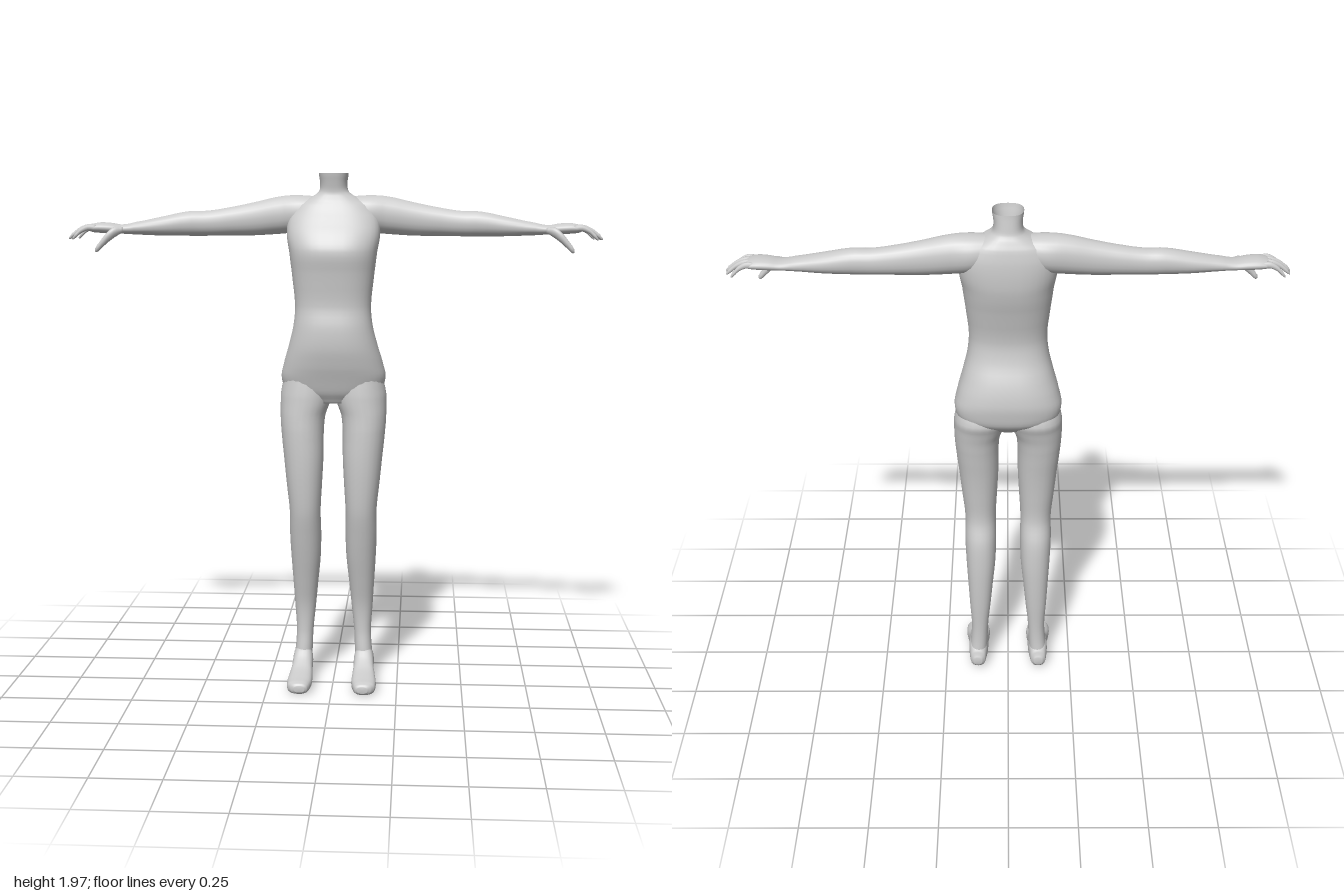
import * as THREE from 'three';

const material = new THREE.MeshStandardMaterial({ color: 0xcccccc, side: THREE.DoubleSide });

// Smooth interpolation of one column between rows 1 and 2 of four.
function spline(p, q, r, s, f) {
  const m = (r - p) / 2, n = (s - q) / 2, d = r - q;
  return q + f * (m + f * (3 * d - 2 * m - n + f * (m + n - 2 * d)));
}

// Skin over rounded cross-sections. Each row: [t, aMin, aMax, bMin, bMax];
// axes gives the coordinate indices of a, b and t in right-handed order.
function loft(name, rows, axes, { sides = 24, steps = 4, power = 2.2, openEnd = false } = {}) {
  const rings = [];
  const row = i => rows[Math.max(0, Math.min(rows.length - 1, i))];
  for (let i = 0; i < rows.length - 1; i++) {
    for (let k = 0; k < steps; k++) {
      const f = k / steps;
      rings.push(rows[0].map((_, c) => c === 0
        ? row(i)[0] + f * (row(i + 1)[0] - row(i)[0])
        : spline(row(i - 1)[c], row(i)[c], row(i + 1)[c], row(i + 2)[c], f)));
    }
  }
  rings.push(rows[rows.length - 1]);

  const pos = [], index = [];
  const add = (a, b, t) => {
    const p = [0, 0, 0];
    p[axes[0]] = a; p[axes[1]] = b; p[axes[2]] = t;
    pos.push(...p);
  };
  const round = v => Math.sign(v) * Math.abs(v) ** (2 / power);
  for (const [t, a0, a1, b0, b1] of rings) {
    for (let j = 0; j < sides; j++) {
      const u = j / sides * Math.PI * 2;
      add((a0 + a1) / 2 + (a1 - a0) / 2 * round(Math.cos(u)),
        (b0 + b1) / 2 + (b1 - b0) / 2 * round(Math.sin(u)), t);
    }
  }
  for (let i = 0; i < rings.length - 1; i++) {
    for (let j = 0; j < sides; j++) {
      const k = (j + 1) % sides, p = i * sides, q = p + sides;
      index.push(p + j, p + k, q + j, p + k, q + k, q + j);
    }
  }
  // End caps
  const cap = (r, last) => {
    const [t, a0, a1, b0, b1] = rings[r], c = pos.length / 3, p = r * sides;
    add((a0 + a1) / 2, (b0 + b1) / 2, t);
    for (let j = 0; j < sides; j++) {
      const k = (j + 1) % sides;
      index.push(c, p + (last ? j : k), p + (last ? k : j));
    }
  };
  cap(0, false);
  if (!openEnd) cap(rings.length - 1, true);

  const g = new THREE.BufferGeometry();
  g.setAttribute('position', new THREE.Float32BufferAttribute(pos, 3));
  g.setIndex(index);
  g.computeVertexNormals();
  const mesh = new THREE.Mesh(g, material);
  mesh.name = name;
  return mesh;
}

const ALONG_X = [1, 2, 0]; // rows: x, y range, z range
const ALONG_Y = [2, 0, 1]; // rows: y, z range, x range
const ALONG_Z = [0, 1, 2]; // rows: z, x range, y range

// Trunk from crotch to the open neck: [y, back, front, half width]
function torso() {
  const rows = [
    [1.11, -0.10, 0.04, 0.09], [1.15, -0.145, 0.062, 0.175], [1.2, -0.158, 0.078, 0.198],
    [1.25, -0.16, 0.094, 0.19], [1.32, -0.145, 0.108, 0.17], [1.4, -0.115, 0.108, 0.15],
    [1.48, -0.105, 0.096, 0.143], [1.6, -0.13, 0.106, 0.155], [1.68, -0.15, 0.115, 0.165],
    [1.74, -0.156, 0.09, 0.175], [1.8, -0.154, 0.05, 0.17], [1.85, -0.145, 0.02, 0.14],
    [1.88, -0.132, 0.006, 0.085], [1.9, -0.122, 0.002, 0.056], [1.93, -0.117, 0.006, 0.051],
    [1.968, -0.112, 0.013, 0.056],
  ].map(([y, b, f, w]) => [y, b, f, -w, w]);
  return loft('torsoAndNeck', rows, ALONG_Y, { sides: 36, power: 2.5, openEnd: true });
}

// Arm, palm, four fingers and thumb on the +x side
function arm() {
  const g = new THREE.Group();
  g.add(loft('arm', [
    [0.06, 1.77, 1.882, -0.13, -0.01], [0.13, 1.75, 1.886, -0.138, -0.002],
    [0.2, 1.742, 1.882, -0.13, -0.012], [0.3, 1.736, 1.86, -0.118, -0.02],
    [0.4, 1.735, 1.84, -0.11, -0.022], [0.48, 1.734, 1.828, -0.104, -0.02],
    [0.55, 1.734, 1.826, -0.102, -0.014], [0.65, 1.735, 1.806, -0.093, -0.006],
    [0.75, 1.739, 1.786, -0.079, 0], [0.8, 1.742, 1.777, -0.076, 0.004],
    [0.84, 1.743, 1.783, -0.079, 0.012], [0.88, 1.745, 1.785, -0.08, 0.016],
    [0.91, 1.748, 1.78, -0.076, 0.014], [0.925, 1.754, 1.774, -0.066, 0.006],
  ], ALONG_X));

  // [centre z at knuckle, centre z at tip, tip x]
  [[-0.065, -0.07, 0.975], [-0.042, -0.044, 0.995], [-0.019, -0.018, 1], [0.004, 0.01, 0.98]]
    .forEach(([z0, z1, tip], i) => {
      const rows = [[0, 1.765, 0.012], [0.35, 1.767, 0.0115], [0.65, 1.755, 0.01],
        [0.9, 1.735, 0.009], [1, 1.726, 0.004]].map(([f, y, r]) => {
        const z = z0 + (z1 - z0) * f;
        return [0.89 + (tip - 0.89) * f, y - r, y + r, z - r * 0.9, z + r * 0.9];
      });
      g.add(loft('finger' + (i + 1), rows, ALONG_X, { sides: 10, steps: 3 }));
    });

  g.add(loft('thumb', [
    [0.79, 1.748, 1.768, -0.015, 0.008], [0.82, 1.731, 1.77, -0.012, 0.024],
    [0.845, 1.712, 1.752, 0, 0.032], [0.867, 1.692, 1.726, 0.008, 0.034],
    [0.885, 1.676, 1.703, 0.012, 0.034], [0.893, 1.677, 1.69, 0.018, 0.029],
  ], ALONG_X, { sides: 12 }));
  return g;
}

// Leg and foot on the +x side
function leg() {
  const g = new THREE.Group();
  g.add(loft('leg', [
    [0.06, -0.106, -0.01, 0.086, 0.158], [0.13, -0.1, -0.016, 0.083, 0.15],
    [0.2, -0.1, -0.024, 0.08, 0.146], [0.3, -0.106, -0.02, 0.07, 0.152],
    [0.4, -0.11, 0.002, 0.06, 0.158], [0.5, -0.11, 0.027, 0.05, 0.164],
    [0.6, -0.102, 0.05, 0.047, 0.168], [0.69, -0.078, 0.068, 0.048, 0.167],
    [0.8, -0.084, 0.077, 0.042, 0.178], [0.9, -0.095, 0.08, 0.037, 0.188],
    [1, -0.11, 0.078, 0.036, 0.198], [1.06, -0.12, 0.074, 0.03, 0.202],
    [1.11, -0.132, 0.071, 0.012, 0.202], [1.15, -0.142, 0.068, 0.004, 0.2],
    [1.22, -0.12, 0.06, 0.01, 0.185],
  ], ALONG_Y));
  g.add(loft('foot', [
    [-0.117, 0.105, 0.14, 0.028, 0.06], [-0.105, 0.092, 0.152, 0.014, 0.09],
    [-0.07, 0.083, 0.158, 0.012, 0.13], [-0.03, 0.08, 0.158, 0.015, 0.135],
    [0.01, 0.08, 0.16, 0.016, 0.1], [0.05, 0.077, 0.166, 0.01, 0.074],
    [0.1, 0.076, 0.171, 0.002, 0.06], [0.14, 0.083, 0.168, 0, 0.052],
    [0.158, 0.09, 0.155, 0.005, 0.046], [0.166, 0.1, 0.14, 0.013, 0.038],
  ], ALONG_Z, { power: 2.5 }));
  return g;
}

export function createModel() {
  const model = new THREE.Group();
  model.name = 'headlessBody';
  model.add(torso());
  // Limbs, mirrored left and right
  for (const [side, s] of [['left', 1], ['right', -1]]) {
    for (const [part, make] of [['Arm', arm], ['Leg', leg]]) {
      const limb = make();
      limb.name = side + part;
      limb.scale.x = s;
      model.add(limb);
    }
  }
  return model;
}
